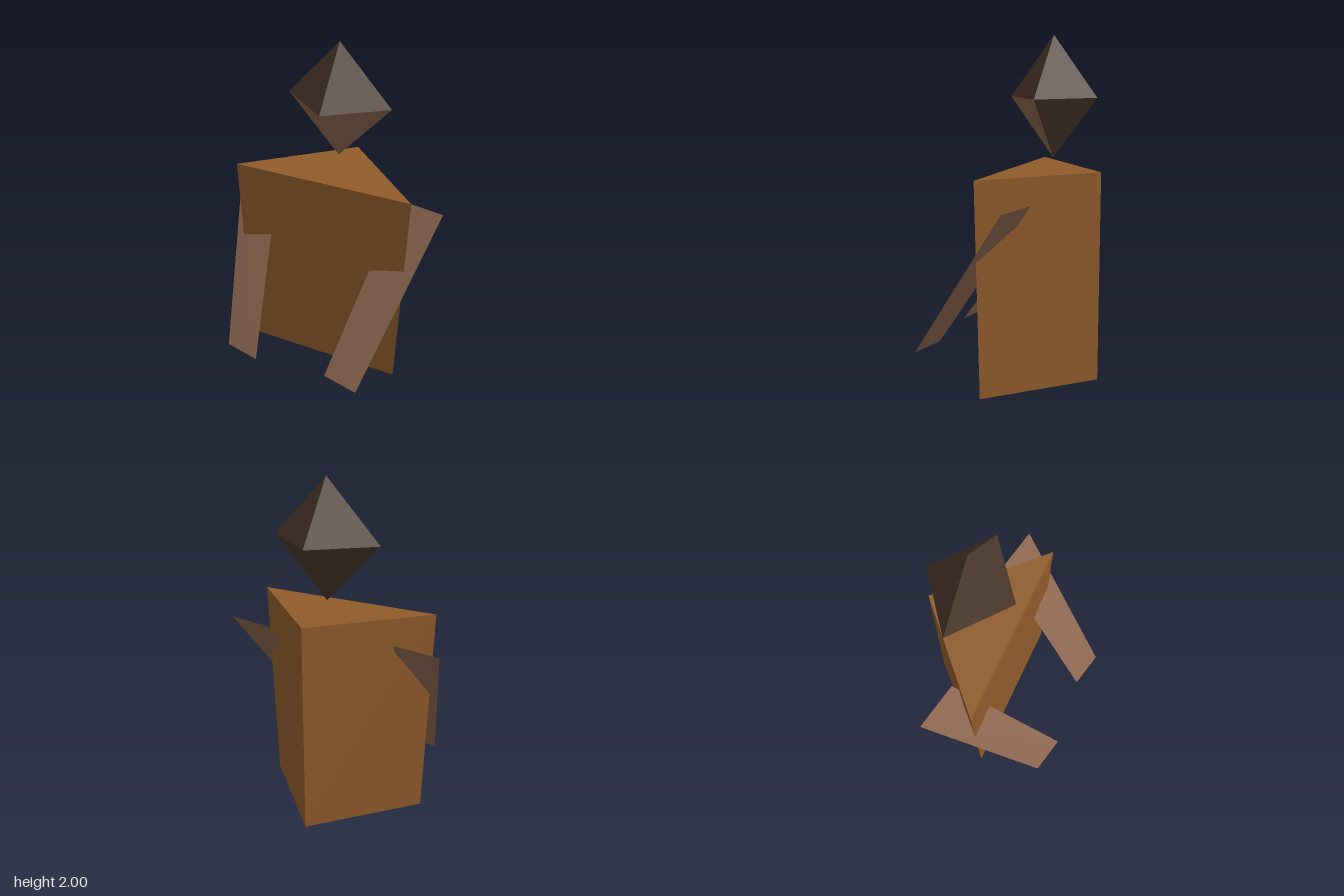
import * as THREE from 'three';

const cloth = new THREE.MeshStandardMaterial({ color: 0x905c2c });
cloth.name = 'brownCloth';
const skin = new THREE.MeshStandardMaterial({ color: 0x8b654f, side: THREE.DoubleSide });
skin.name = 'skin';
const hair = new THREE.MeshStandardMaterial({ color: 0x4a382b });
hair.name = 'darkHair';

// Flat-faced mesh from a list of triangles, each made of three [x, y, z] corners
function facetMesh(name, triangles, material) {
  const geometry = new THREE.BufferGeometry();
  geometry.setAttribute('position', new THREE.Float32BufferAttribute(triangles.flat(2), 3));
  geometry.computeVertexNormals();
  const mesh = new THREE.Mesh(geometry, material);
  mesh.name = name;
  return mesh;
}

// Three-sided body, a little wider at the shoulders
function makeTorso() {
  const ring = (halfWidth, y) => [[halfWidth, y, 0.045], [0, y, -0.49], [-halfWidth, y, 0.045]];
  const low = ring(0.505, 0);
  const high = ring(0.555, 1.24);
  const triangles = [high, [...low].reverse()];
  for (let i = 0; i < 3; i++) {
    const j = (i + 1) % 3;
    triangles.push([low[i], low[j], high[j]], [low[i], high[j], high[i]]);
  }
  return facetMesh('torso', triangles, cloth);
}

// Eight-sided diamond head: skin on the two lower front facets, hair elsewhere
function makeHead() {
  const y = 1.655;
  const z = -0.203;
  const ring = [[0.323, y, z], [0, y, -0.46], [-0.323, y, z], [0, y, 0.055]];
  const crown = [0, 2, z];
  const chin = [0, 1.313, z];
  const hairFaces = [];
  const skinFaces = [];
  for (let i = 0; i < 4; i++) {
    const j = (i + 1) % 4;
    hairFaces.push([ring[i], ring[j], crown]);
    (i < 2 ? hairFaces : skinFaces).push([ring[j], ring[i], chin]);
  }
  const head = new THREE.Group();
  head.name = 'head';
  head.add(facetMesh('hair', hairFaces, hair), facetMesh('face', skinFaces, skin));
  return head;
}

// Flat arm slanting down and forward; both arms share the same slight twist
function makeArm(name, side) {
  const shoulder = [-1, 1].map(e => [side * 0.535 + e * 0.144, 1.095, -0.187 + e * 0.027]);
  const hand = [-1, 1].map(e => [side * 0.33 + e * 0.112, 0.19, 0.46 + e * 0.025]);
  return facetMesh(name, [
    [shoulder[0], hand[0], hand[1]],
    [shoulder[0], hand[1], shoulder[1]],
  ], skin);
}

export function createModel() {
  const model = new THREE.Group();
  model.name = 'figure';
  model.add(makeTorso(), makeHead(), makeArm('leftArm', 1), makeArm('rightArm', -1));
  return model;
}
